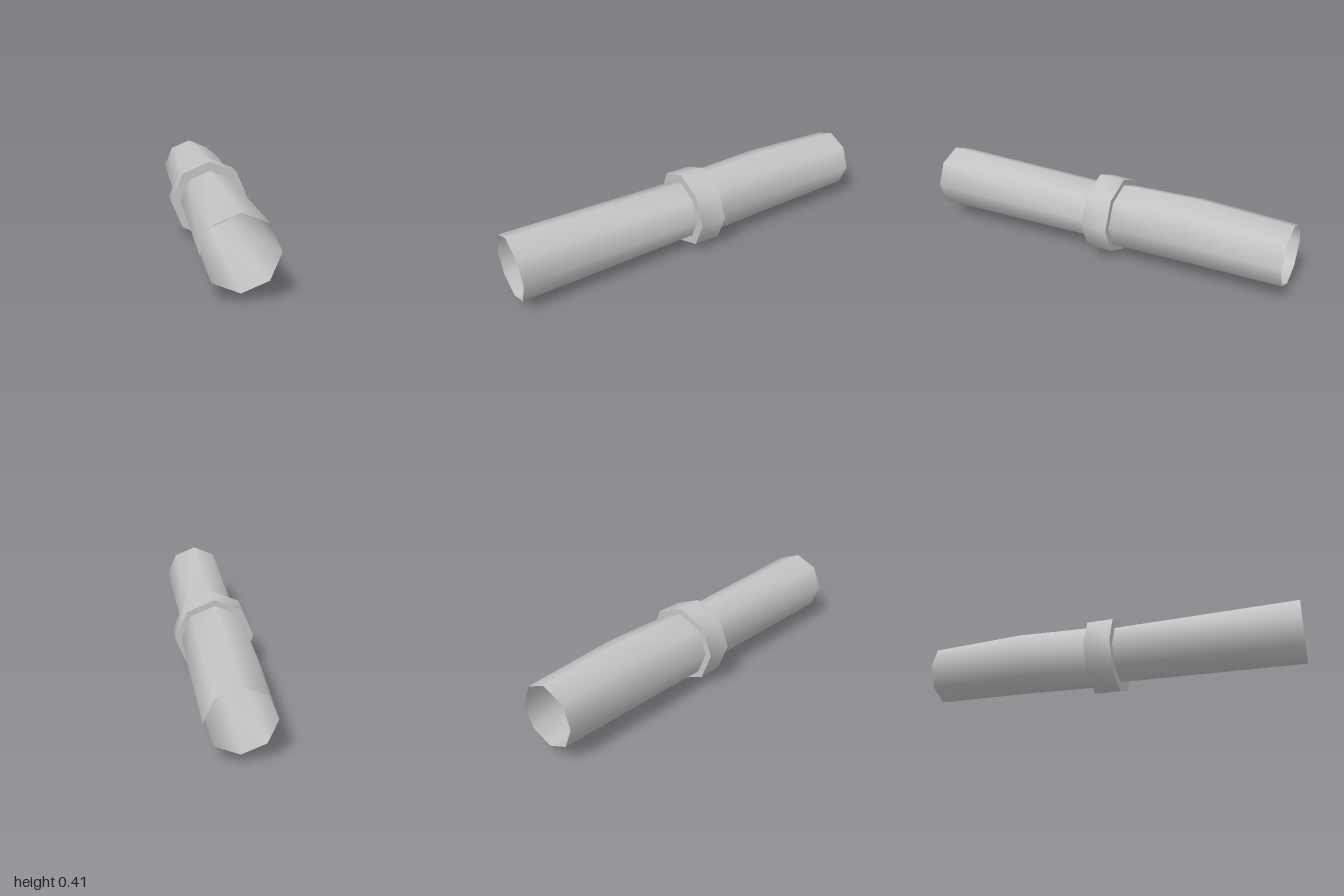
import * as THREE from 'three';

const SIDES = 8;

// Skin a row of octagonal sections [z, centre height, radius], ordered front to back
function loft(name, sections, material) {
  const positions = [], index = [];
  for (const [z, cy, r] of sections) {
    for (let i = 0; i < SIDES; i++) {
      const a = (i / SIDES) * Math.PI * 2;
      positions.push(Math.cos(a) * r, cy + Math.sin(a) * r, z);
    }
  }
  for (let s = 0; s < sections.length - 1; s++) {
    for (let i = 0; i < SIDES; i++) {
      const j = (i + 1) % SIDES;
      const a = s * SIDES + i, b = s * SIDES + j;
      const c = a + SIDES, d = b + SIDES;
      index.push(a, c, b, b, c, d);
    }
  }
  const geometry = new THREE.BufferGeometry();
  geometry.setAttribute('position', new THREE.Float32BufferAttribute(positions, 3));
  geometry.setIndex(index);
  geometry.computeVertexNormals();
  const mesh = new THREE.Mesh(geometry, material);
  mesh.name = name;
  return mesh;
}

export function createModel() {
  const metal = new THREE.MeshStandardMaterial({ color: 0xc4c4c4, side: THREE.DoubleSide });
  metal.name = 'grey metal';

  const cy = 0.206, outer = 0.206;
  const front = 0.04, back = -0.1;
  const frontEnd = [front, cy + 0.001, 0.155];
  const backEnd = [back, cy + 0.002, 0.172];

  const model = new THREE.Group();
  model.name = 'pipeCoupling';
  model.add(
    // front tube, widening slightly toward its open mouth
    loft('frontTube', [[1, cy + 0.001, 0.171], frontEnd], metal),
    // collar band and its two flat shoulders
    loft('collarFrontShoulder', [frontEnd, [front, cy, outer]], metal),
    loft('collarBand', [[front, cy, outer], [back, cy, outer]], metal),
    loft('collarBackShoulder', [[back, cy, outer], backEnd], metal),
    // rear tube, with a slight upward bow and a narrower open end
    loft('rearTube', [backEnd, [-0.5, 0.22, 0.173], [-1, 0.211, 0.159]], metal)
  );
  return model;
}
